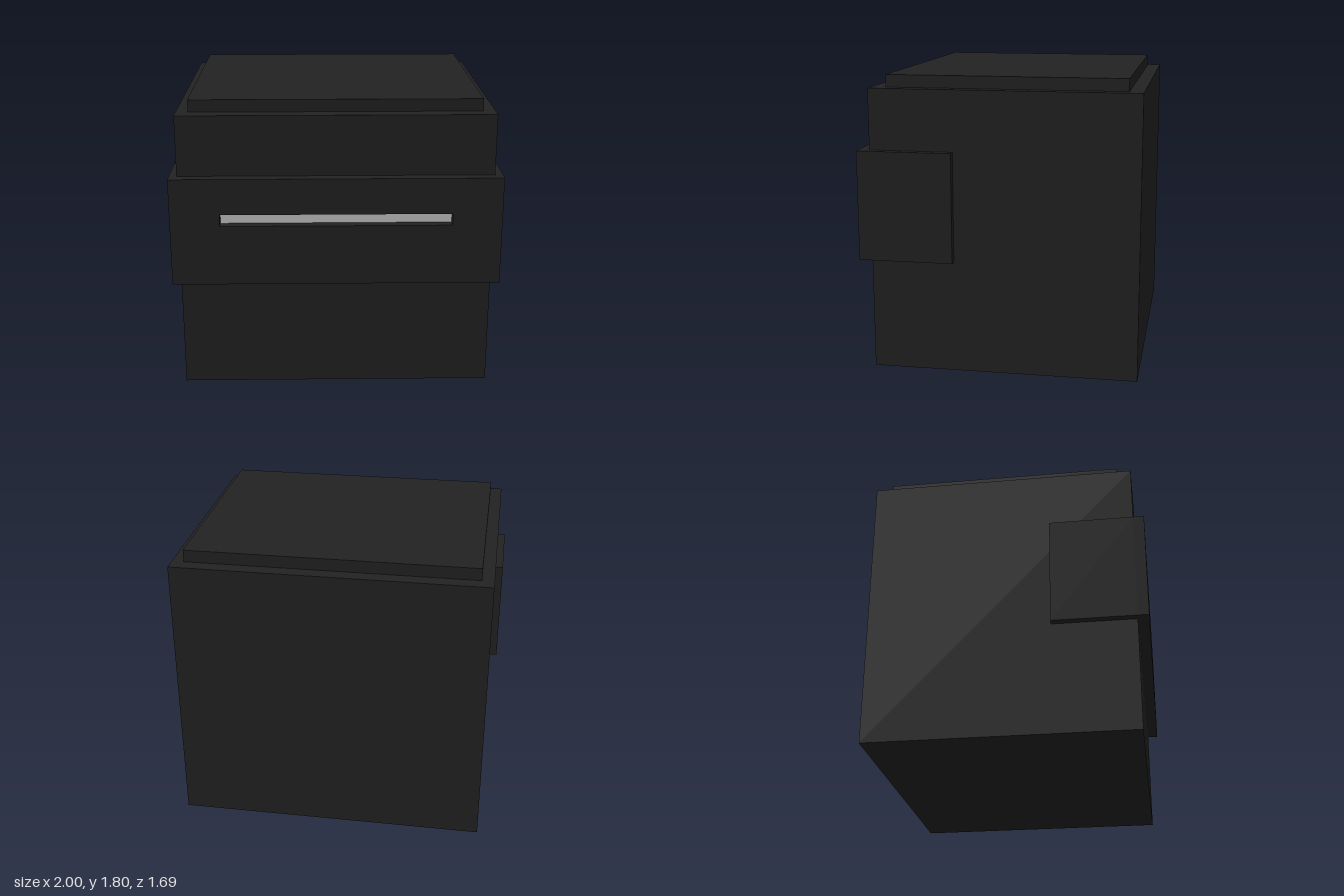
import * as THREE from 'three';

export function createModel() {
  const model = new THREE.Group();
  model.name = 'slottedBox';

  const charcoal = new THREE.MeshStandardMaterial({ color: 0x222222 });
  charcoal.name = 'charcoal';
  const paleGrey = new THREE.MeshStandardMaterial({ color: 0xc8c8c8 });
  paleGrey.name = 'paleGrey';

  const add = (name, geometry, material) => {
    const mesh = new THREE.Mesh(geometry, material);
    mesh.name = name;
    model.add(mesh);
    return mesh;
  };
  // Box given by its extents on each axis
  const addBox = (name, [x0, x1], [y0, y1], [z0, z1], material) =>
    add(name, new THREE.BoxGeometry(x1 - x0, y1 - y0, z1 - z0), material)
      .position.set((x0 + x1) / 2, (y0 + y1) / 2, (z0 + z1) / 2);

  const bodyHalf = 0.953, bodyFront = 0.78, bandFront = 0.847;
  const bandY = [0.69, 1.36];

  // Main body and raised lid
  addBox('body', [-bodyHalf, bodyHalf], [0, 1.73], [-0.847, bodyFront], charcoal);
  addBox('lid', [-0.88, 0.88], [1.73, 1.805], [-0.76, 0.69], charcoal);

  // Front of the wrap-around band, with a long slot cut through it
  const rect = (Type, x, y0, y1) => new Type([
    new THREE.Vector2(-x, y0), new THREE.Vector2(x, y0),
    new THREE.Vector2(x, y1), new THREE.Vector2(-x, y1),
  ]);
  const slotX = 0.70, slotY = [1.065, 1.137];
  const face = rect(THREE.Shape, 1, ...bandY);
  face.holes.push(rect(THREE.Path, slotX, ...slotY));
  add('bandFront', new THREE.ExtrudeGeometry(face, {
    depth: bandFront - bodyFront, bevelEnabled: false,
  }), charcoal).position.z = bodyFront;

  // Sides of the band
  for (const [name, s] of [['leftBandSide', 1], ['rightBandSide', -1]]) {
    const xs = [s * bodyHalf, s].sort((a, b) => a - b);
    addBox(name, xs, bandY, [0.27, bodyFront], charcoal);
  }

  // Pale strip at the bottom of the slot
  addBox('slotStrip', [-slotX, slotX], slotY, [bodyFront, bodyFront + 0.009], paleGrey);

  return model;
}
